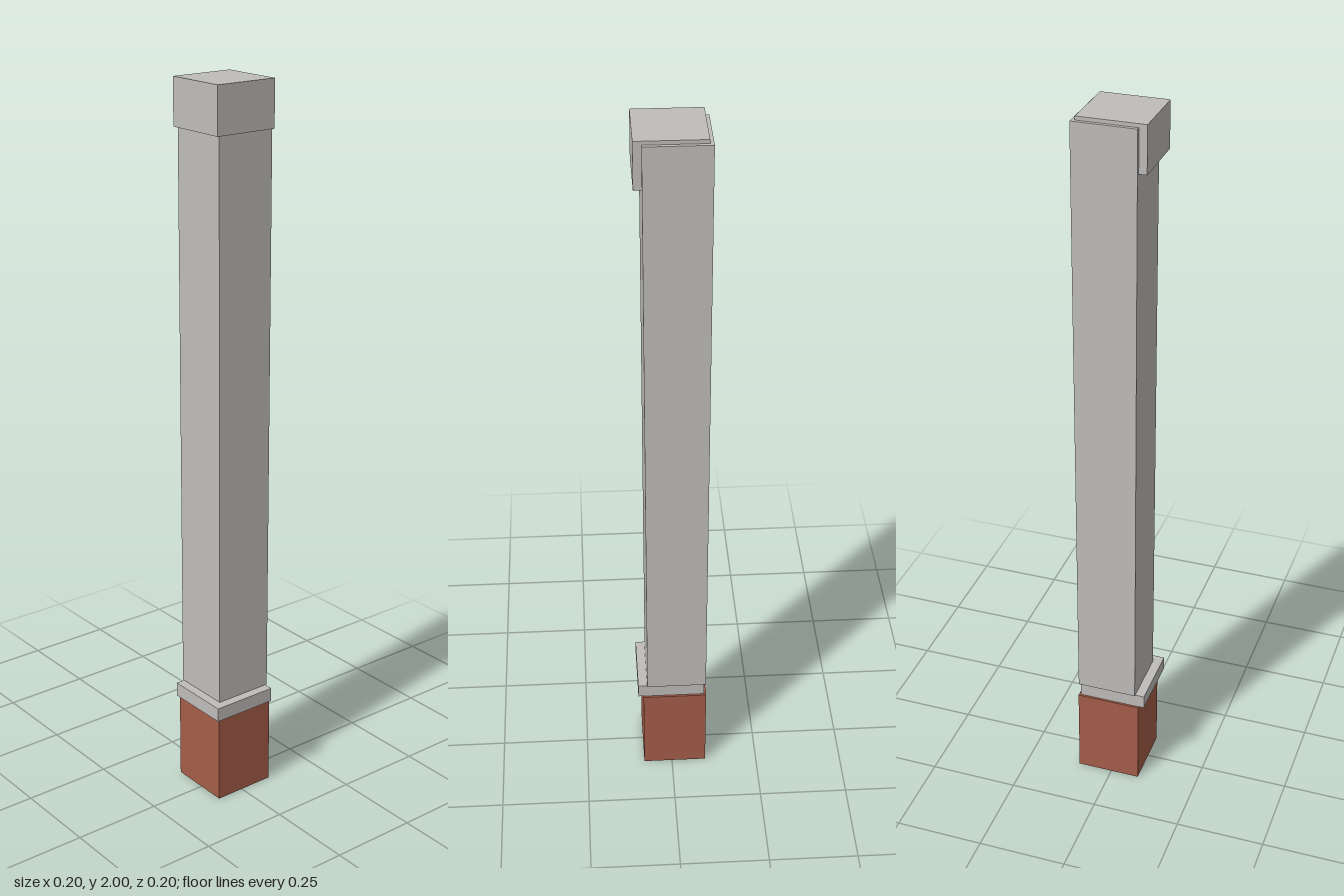
import * as THREE from 'three';

const stone = new THREE.MeshStandardMaterial({ color: 0xbfbdbb });
stone.name = 'pale stone';
const brick = new THREE.MeshStandardMaterial({ color: 0xa55d49 });
brick.name = 'red brick';

// Square block spanning min..max in both x and z, and y0..y1 in height
function block(name, material, min, max, y0, y1) {
  const mesh = new THREE.Mesh(new THREE.BoxGeometry(max - min, y1 - y0, max - min), material);
  const mid = (min + max) / 2;
  mesh.position.set(mid, (y0 + y1) / 2, mid);
  mesh.name = name;
  return mesh;
}

export function createModel() {
  const pillar = new THREE.Group();
  pillar.name = 'pillar';
  pillar.add(
    block('brickBase', brick, -0.099, 0.082, 0, 0.26),
    // Collar and cap step out at the front and left, and sit inside the back and right faces
    block('collar', stone, -0.093, 0.097, 0.26, 0.3),
    block('shaft', stone, -0.098, 0.071, 0.3, 1.99),
    block('cap', stone, -0.088, 0.092, 1.875, 2),
  );
  return pillar;
}
